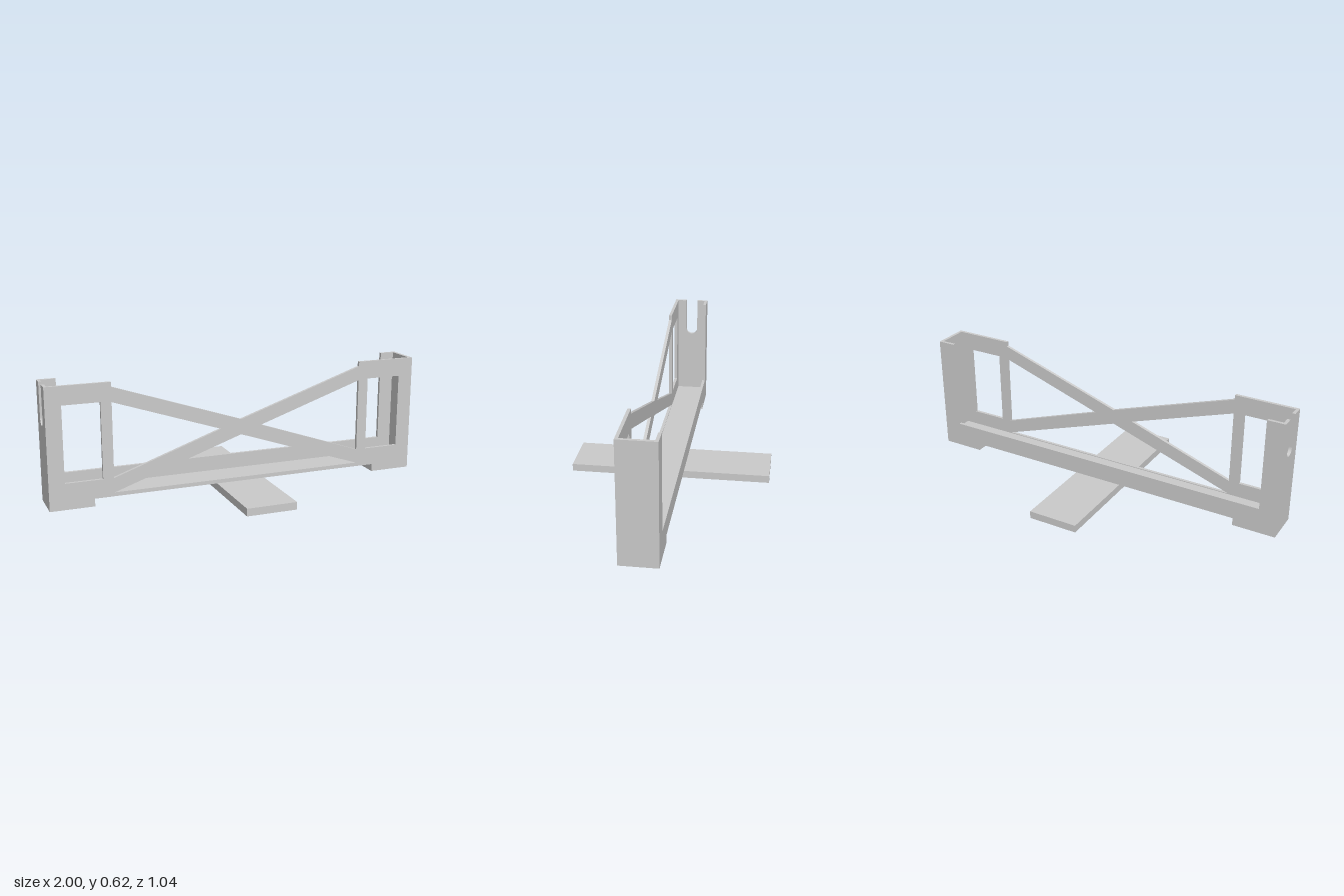
import * as THREE from 'three';

const T = 0.016;                 // wall thickness
const ZF = 0.115, ZB = -0.075;   // outer faces, front and back
const BASE = 0.04, TOP = 0.62;

const material = new THREE.MeshStandardMaterial({ color: 0xcccccc });
const points = (list) => list.map(([x, y]) => new THREE.Vector2(x, y));

export function createModel() {
  const model = new THREE.Group();

  const add = (name, geometry) => {
    const mesh = new THREE.Mesh(geometry, material);
    mesh.name = name;
    model.add(mesh);
    return mesh;
  };
  const box = (name, x0, x1, y0, y1, z0, z1) =>
    add(name, new THREE.BoxGeometry(x1 - x0, y1 - y0, z1 - z0))
      .position.set((x0 + x1) / 2, (y0 + y1) / 2, (z0 + z1) / 2);
  const slab = (name, shape) =>
    add(name, new THREE.ExtrudeGeometry(shape, { depth: T, bevelEnabled: false, curveSegments: 12 }));

  // Front frame: two end panels joined by crossing braces and a thin sill
  const front = new THREE.Shape(points([
    [-1, BASE], [1, BASE], [1, TOP], [0.675, TOP], [0.675, 0.595],
    [0, 0.37], [-0.675, 0.595], [-0.675, TOP], [-1, TOP],
  ]));
  front.holes.push(new THREE.Path(points([[-0.675, 0.06], [0, 0.29], [0.675, 0.06]])));
  for (const s of [-1, 1]) {
    front.holes.push(
      new THREE.Path(points([[s * 0.92, 0.135], [s * 0.73, 0.135], [s * 0.73, 0.525], [s * 0.92, 0.525]])),
      new THREE.Path(points([[s * 0.675, 0.135], [s * 0.11, 0.33], [s * 0.675, 0.52]])),
    );
  }
  slab('frontFrame', front).position.z = ZF - T;

  // Back wall: low lip with a tall corner post at each end
  const back = new THREE.Shape(points([
    [-1, BASE], [1, BASE], [1, TOP], [0.907, TOP], [0.907, 0.135],
    [-0.907, 0.135], [-0.907, TOP], [-1, TOP],
  ]));
  slab('backLip', back).position.z = ZB;

  // End walls; the one at -x has a round-bottomed slot open at the top
  const z0 = ZB + T, z1 = ZF - T;
  const slotZ = 0.0175, slotR = 0.033, slotY = 0.443;
  for (const s of [-1, 1]) {
    const wall = new THREE.Shape();
    wall.moveTo(z0, BASE);
    wall.lineTo(z1, BASE);
    wall.lineTo(z1, TOP);
    if (s < 0) {
      wall.lineTo(slotZ + slotR, TOP);
      wall.lineTo(slotZ + slotR, slotY);
      wall.absarc(slotZ, slotY, slotR, 0, -Math.PI, true);
      wall.lineTo(slotZ - slotR, TOP);
    }
    wall.lineTo(z0, TOP);
    const mesh = slab(s < 0 ? 'slottedEndWall' : 'endWall', wall);
    mesh.rotation.y = -Math.PI / 2;
    mesh.position.x = s < 0 ? -1 + T : 1;
  }

  // Tray floor
  box('floor', -1 + T, 1 - T, BASE, 0.056, z0, z1);

  // End feet and the crosswise stabilising foot
  box('endFoot', -1, -0.775, 0, BASE, ZB, ZF);
  box('endFoot', 0.775, 1, 0, BASE, ZB, ZF);
  box('crossFoot', -0.132, 0.132, 0, 0.039, -0.52, 0.52);

  return model;
}
